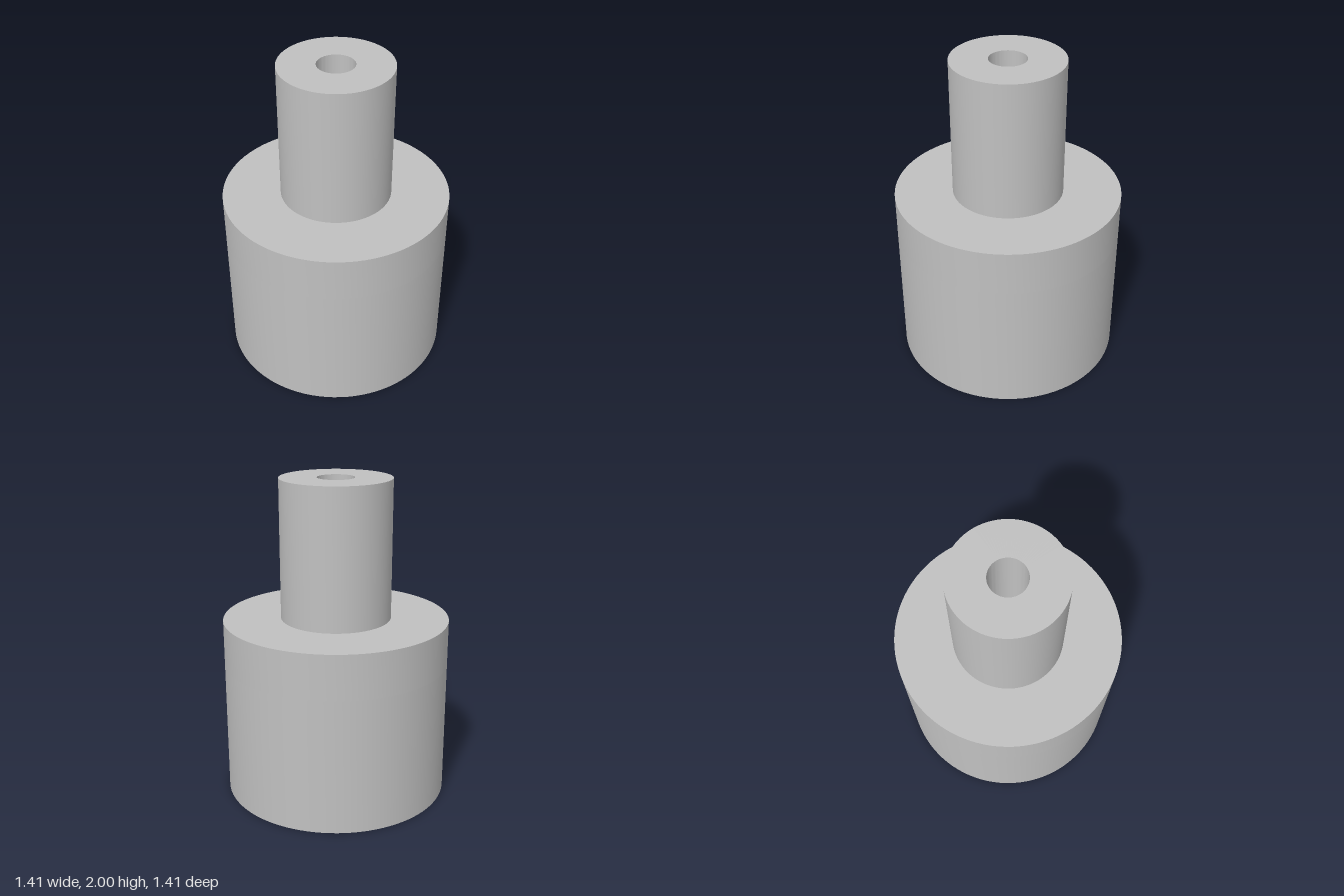
import * as THREE from 'three';
import { toCreasedNormals } from 'three/addons/utils/BufferGeometryUtils.js';

const BASE_R = 0.705, BASE_H = 1.13;
const SHAFT_R = 0.345, HEIGHT = 2;
const BORE_R = 0.115, BORE_DEPTH = 0.85;
const SOCKET_R = 0.357, SOCKET_HALF = 0.22, SOCKET_DEPTH = 0.85;

export function createModel() {
  const model = new THREE.Group();
  const grey = new THREE.MeshStandardMaterial({ color: 0xc0c0c0 });
  grey.name = 'light grey';

  const add = (name, geometry) => {
    const mesh = new THREE.Mesh(toCreasedNormals(geometry, Math.PI / 6), grey);
    mesh.name = name;
    model.add(mesh);
  };

  // Lower base: a disc pierced by a round socket with two flats facing +x and -x
  const disc = new THREE.Shape().absarc(0, 0, BASE_R, 0, Math.PI * 2);
  const a = Math.acos(SOCKET_HALF / SOCKET_R);
  const socket = new THREE.Path();
  socket.absarc(0, 0, SOCKET_R, a, Math.PI - a);
  socket.absarc(0, 0, SOCKET_R, Math.PI + a, Math.PI * 2 - a);
  socket.closePath();
  disc.holes.push(socket);
  const lower = new THREE.ExtrudeGeometry(disc, {
    depth: SOCKET_DEPTH, bevelEnabled: false, curveSegments: 48,
  });
  lower.rotateX(-Math.PI / 2);
  add('socketBase', lower);

  // Socket ceiling, upper base, shaft and blind bore as one turned profile
  const profile = [
    [0, SOCKET_DEPTH], [BASE_R, SOCKET_DEPTH], [BASE_R, BASE_H],
    [SHAFT_R, BASE_H], [SHAFT_R, HEIGHT],
    [BORE_R, HEIGHT], [BORE_R, HEIGHT - BORE_DEPTH], [0, HEIGHT - BORE_DEPTH],
  ].map(([x, y]) => new THREE.Vector2(x, y));
  add('shaftWithBore', new THREE.LatheGeometry(profile, 96));

  return model;
}
